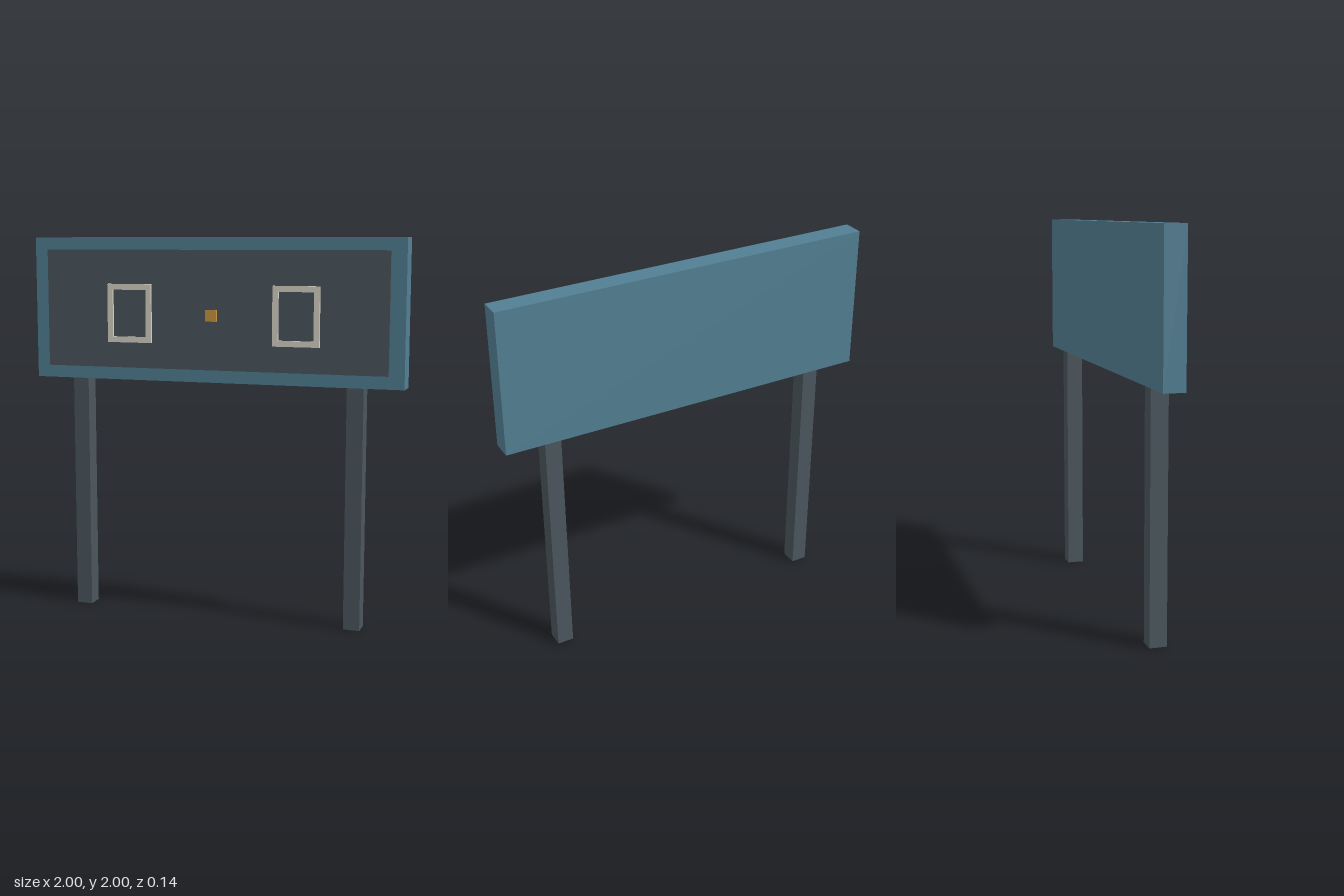
import * as THREE from 'three';

const mat = (color) => new THREE.MeshStandardMaterial({ color });

export function createModel() {
  const model = new THREE.Group();
  model.name = 'scoreboard';

  const blue = mat(0x527f93);
  const dark = mat(0x4b565d);
  const cream = mat(0xd6d3c6);
  const amber = mat(0xcc963f);

  // Box given by its limits on each axis
  const box = (name, material, [x0, x1], [y0, y1], [z0, z1]) => {
    const mesh = new THREE.Mesh(new THREE.BoxGeometry(x1 - x0, y1 - y0, z1 - z0), material);
    mesh.position.set((x0 + x1) / 2, (y0 + y1) / 2, (z0 + z1) / 2);
    mesh.name = name;
    model.add(mesh);
  };

  // Cabinet and the raised face panel
  box('cabinet', blue, [-1, 1], [1.254, 2], [-0.07, 0.04]);
  box('facePanel', dark, [-0.923, 0.923], [1.32, 1.936], [0.035, 0.057]);

  // Small square marker in the middle
  box('centreMarker', amber, [-0.03, 0.03], [1.572, 1.631], [0.05, 0.07]);

  // Rectangular window frame, centred on its own origin
  const rect = (path, w, h) => path
    .moveTo(-w / 2, -h / 2).lineTo(w / 2, -h / 2)
    .lineTo(w / 2, h / 2).lineTo(-w / 2, h / 2).closePath();
  const outline = rect(new THREE.Shape(), 0.245, 0.305);
  outline.holes.push(rect(new THREE.Path(), 0.185, 0.245));
  const frameGeometry = new THREE.ExtrudeGeometry(outline, { depth: 0.02, bevelEnabled: false });

  // Mirrored frames and posts
  for (const [side, s] of [['left', 1], ['right', -1]]) {
    const frame = new THREE.Mesh(frameGeometry, cream);
    frame.position.set(s * 0.451, 1.606, 0.05);
    frame.name = side + 'Frame';
    model.add(frame);

    const x = s * 0.751;
    box(side + 'Post', dark, [x - 0.043, x + 0.043], [0, 1.26], [-0.058, 0.03]);
  }

  return model;
}
